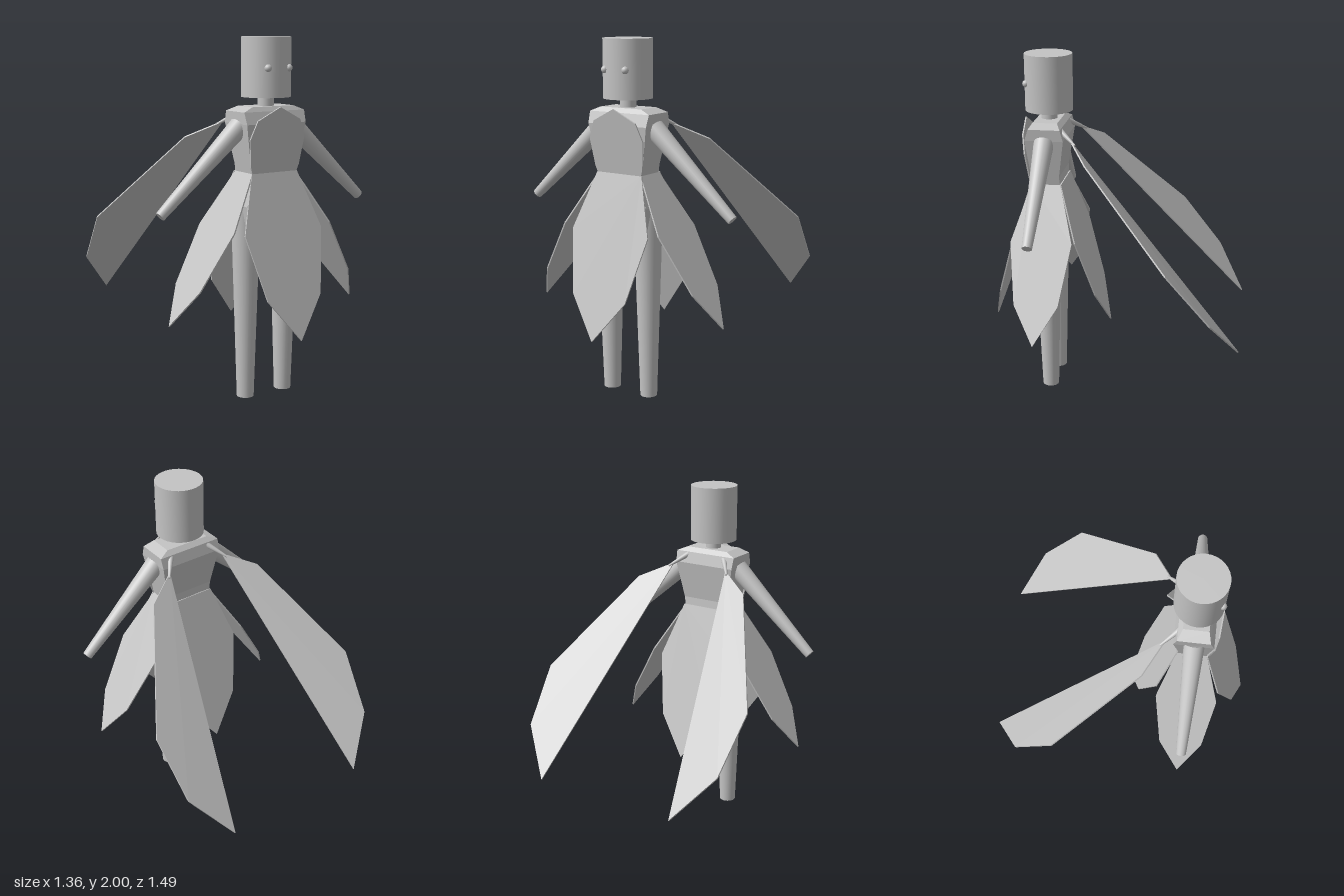
import * as THREE from 'three';

const Z = 0.39; // depth of the body's axis
const grey = new THREE.MeshStandardMaterial({ color: 0xc4c4c4 });
const V = (x, y, z) => new THREE.Vector3(x, y, z);

// Flat-faceted geometry from a list of triangles
function facets(tris) {
  const geo = new THREE.BufferGeometry().setFromPoints(tris);
  geo.computeVertexNormals();
  return geo;
}

// Thin plate over an outline of points in space
function plate(pts, thickness = 0.008) {
  const n = V(0, 0, 0);
  pts.forEach((p, i) => n.add(p.clone().cross(pts[(i + 1) % pts.length])));
  n.setLength(thickness / 2);
  const a = pts.map(p => p.clone().add(n));
  const b = pts.map(p => p.clone().sub(n));
  const tris = [];
  for (let i = 0; i < pts.length; i++) {
    const j = (i + 1) % pts.length;
    if (i > 0 && j > 0) tris.push(a[0], a[i], a[j], b[0], b[j], b[i]);
    tris.push(b[i], b[j], a[j], b[i], a[j], a[i]);
  }
  return facets(tris);
}

// Solid through rectangular rings [y, halfWidth, zBack, zFront], top to bottom
function boxLoft(rings) {
  const loops = rings.map(([y, w, b, f]) => [V(-w, y, f), V(w, y, f), V(w, y, b), V(-w, y, b)]);
  const tris = [];
  const quad = (a, b, c, d) => tris.push(a, b, c, a, c, d);
  for (let r = 0; r < loops.length - 1; r++) {
    const t = loops[r], u = loops[r + 1];
    for (let i = 0; i < 4; i++) {
      const j = (i + 1) % 4;
      quad(u[i], u[j], t[j], t[i]);
    }
  }
  quad(...loops[0]);
  quad(...loops[loops.length - 1].slice().reverse());
  return facets(tris);
}

// Tapered round limb between two points
function limb(from, to, r0, r1) {
  const dir = to.clone().sub(from);
  const geo = new THREE.CylinderGeometry(r1, r0, dir.length(), 24);
  geo.applyQuaternion(new THREE.Quaternion().setFromUnitVectors(V(0, 1, 0), dir.normalize()));
  const mid = from.clone().add(to).multiplyScalar(0.5);
  return geo.translate(mid.x, mid.y, mid.z);
}

export function createModel() {
  const model = new THREE.Group();
  const add = (name, geo) => {
    const mesh = new THREE.Mesh(geo, grey);
    mesh.name = name;
    model.add(mesh);
  };

  // Head and neck
  add('head', new THREE.CylinderGeometry(0.136, 0.136, 0.322, 32).translate(0, 1.839, Z));
  add('neck', limb(V(0, 1.6, Z), V(0, 1.69, Z), 0.045, 0.045));

  // Torso and hips
  add('torso', boxLoft([
    [1.63, 0.135, 0.32, 0.46],
    [1.605, 0.196, 0.295, 0.475],
    [1.54, 0.192, 0.278, 0.497],
    [1.32, 0.152, 0.312, 0.472],
    [1.27, 0.143, 0.308, 0.475],
  ]));
  add('hips', boxLoft([
    [1.275, 0.143, 0.308, 0.472],
    [1.1, 0.19, 0.28, 0.5],
    [0.97, 0.17, 0.3, 0.48],
  ]));

  // Bodice panel standing slightly off the chest
  const bodiceHalf = [[0.145, 1.27], [0.158, 1.31], [0.177, 1.46], [0.138, 1.56]];
  const bodicePoint = (x, y) => V(x, y, 0.475 + (y - 1.27) * 0.144);
  add('bodicePanel', plate([
    ...bodiceHalf.map(([x, y]) => bodicePoint(x, y)),
    bodicePoint(0, 1.63),
    ...bodiceHalf.slice().reverse().map(([x, y]) => bodicePoint(-x, y)),
  ]));

  // Skirt petals: outline rows are [halfWidth, y], spreading outward below the waist
  function petal(rows, start, spread, place) {
    const out = y => start + (1.275 - y) * spread;
    const right = rows.map(([w, y]) => place(w, y, out(y)));
    const left = rows.slice(0, -1).reverse().map(([w, y]) => place(-w, y, out(y)));
    return plate([...right, ...left]);
  }
  const longRows = [[0.148, 1.275], [0.252, 0.96], [0.175, 0.615], [0, 0.39]];
  const shortRows = [[0.083, 1.275], [0.175, 0.98], [0.125, 0.675], [0, 0.48]];
  for (const s of [1, -1]) {
    add(s > 0 ? 'frontPetal' : 'backPetal',
      petal(longRows, 0.085, 0.3, (w, y, o) => V(w, y, Z + s * o)));
    add(s > 0 ? 'leftPetal' : 'rightPetal',
      petal(shortRows, 0.138, 0.6, (w, y, o) => V(s * o, y, Z + w)));
  }

  // Mirrored parts
  for (const s of [1, -1]) {
    const side = s > 0 ? 'left' : 'right';
    add(side + 'Eye', new THREE.SphereGeometry(0.02, 16, 12).translate(s * 0.067, 1.836, Z + 0.117));
    add(side + 'Arm', limb(V(s * 0.17, 1.525, Z), V(s * 0.663, 1.08, Z), 0.057, 0.028));
    add(side + 'Leg', limb(V(s * 0.128, 0, Z), V(s * 0.128, 1.08, Z), 0.048, 0.082));
    add(side + 'WingStem', limb(V(s * 0.12, 1.59, 0.31), V(s * 0.2, 1.525, 0.21), 0.018, 0.006));
    add(side + 'Wing', plate([
      V(s * 0.18, 1.54, 0.235),
      V(s * 0.36, 1.455, 0.13),
      V(s * 0.675, 0.965, -0.345),
      V(s * 0.64, 0.675, -0.585),
      V(s * 0.438, 0.437, -0.74),
    ]));
  }
  return model;
}
